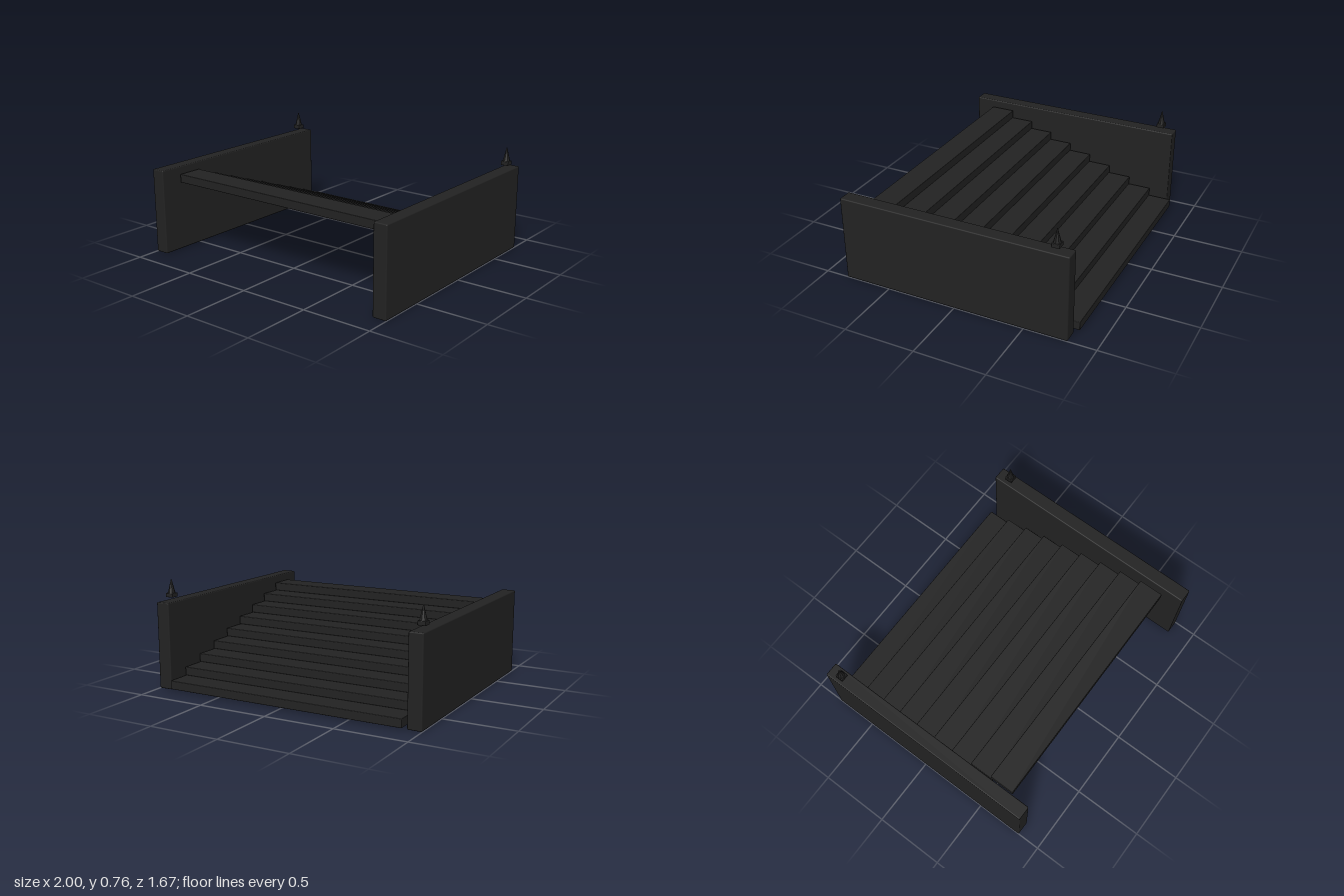
import * as THREE from 'three';
import { RoundedBoxGeometry } from 'three/addons/geometries/RoundedBoxGeometry.js';

const darkStone = new THREE.MeshStandardMaterial({ color: 0x222222 });
darkStone.name = 'darkStone';

// Softly bevelled block given by its min and max corners
function block(name, min, max, bevel) {
  const size = max.map((v, i) => v - min[i]);
  const mesh = new THREE.Mesh(new RoundedBoxGeometry(...size, 2, bevel), darkStone);
  mesh.position.set(...max.map((v, i) => (v + min[i]) / 2));
  mesh.name = name;
  return mesh;
}

// Small spike on a square base, hovering over the low end of a wall
function finial() {
  const group = new THREE.Group();
  const base = block('finialBase', [-0.028, 0.635, -0.028], [0.028, 0.664, 0.028], 0.003);
  const coneGeometry = new THREE.CylinderGeometry(0.002, 0.027, 0.1, 8).toNonIndexed();
  coneGeometry.computeVertexNormals();
  const spike = new THREE.Mesh(coneGeometry, darkStone);
  spike.position.y = 0.71;
  spike.name = 'finialSpike';
  group.add(base, spike);
  return group;
}

export function createModel() {
  const model = new THREE.Group();
  model.name = 'staircase';

  // Nine treads rising from the back to the front
  const steps = new THREE.Group();
  steps.name = 'steps';
  const rise = 0.0607, run = 0.168;
  for (let i = 0; i < 9; i++) {
    const y = 0.015 + i * rise, z = -0.835 + i * run;
    steps.add(block('step' + (i + 1), [-0.88, y, z], [0.88, y + 0.06, z + 0.18], 0.004));
  }
  model.add(steps);

  // Side walls, each with a finial
  for (const [side, s] of [['left', 1], ['right', -1]]) {
    const wall = block(side + 'Wall', [-0.05, 0, -0.803], [0.05, 0.61, 0.835], 0.008);
    wall.position.x = s * 0.95;
    const top = finial();
    top.name = side + 'Finial';
    top.position.set(s * 0.95, 0, -0.70);
    model.add(wall, top);
  }
  return model;
}
